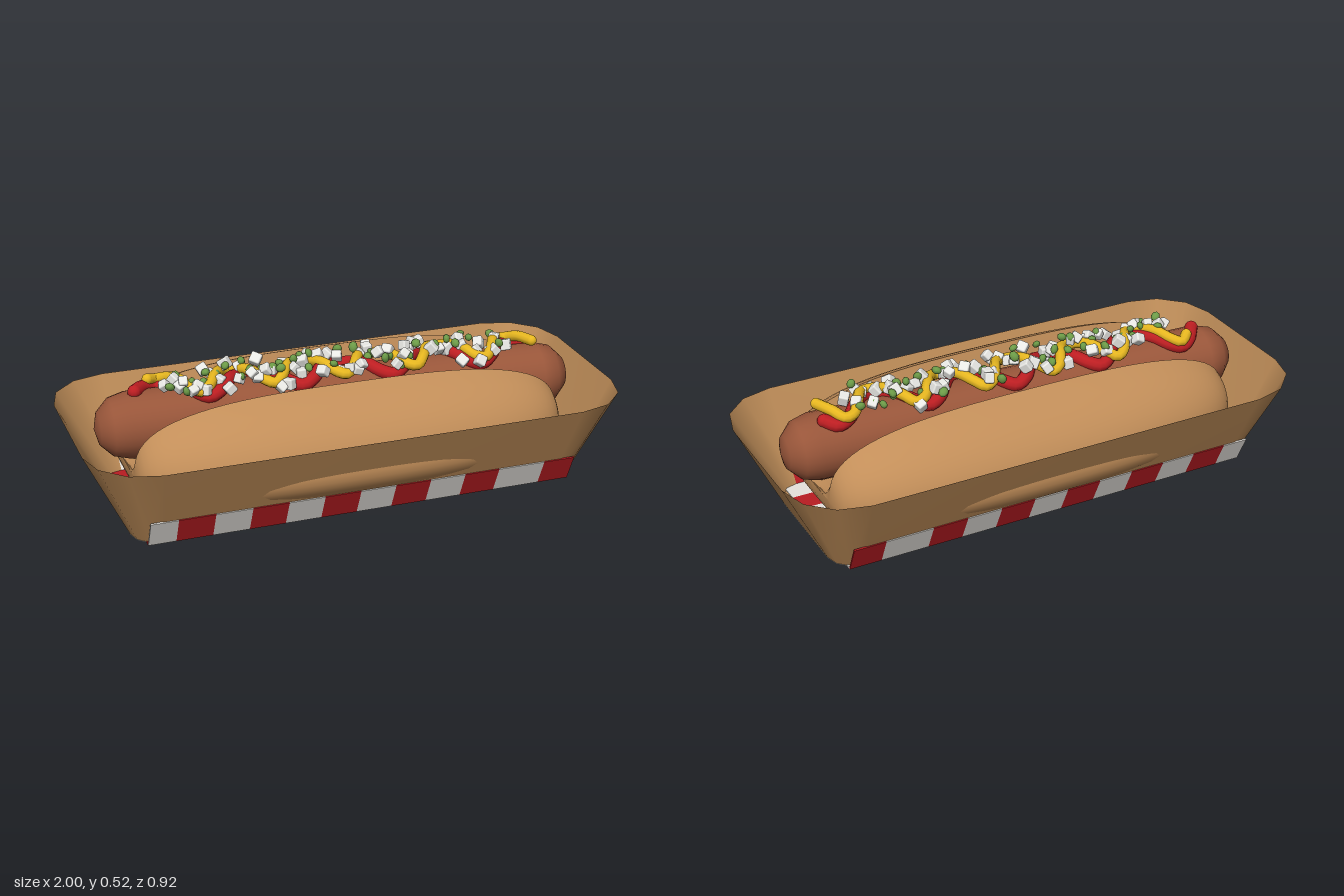
import * as THREE from 'three';
import { mergeGeometries, toCreasedNormals } from 'three/addons/utils/BufferGeometryUtils.js';
import { RoundedBoxGeometry } from 'three/addons/geometries/RoundedBoxGeometry.js';

const mat = (name, color, extra = {}) => {
  const m = new THREE.MeshStandardMaterial({ color, ...extra });
  m.name = name;
  return m;
};

function seeded(seed) {
  return () => {
    seed = (seed * 16807) % 2147483647;
    return seed / 2147483647;
  };
}

// Joins equal-length rings of points into a skin; each ring is closed
function loft(rings) {
  const n = rings[0].length, index = [];
  for (let i = 0; i < rings.length - 1; i++) {
    for (let j = 0; j < n; j++) {
      const k = (j + 1) % n;
      const a = i * n + j, b = i * n + k, c = a + n, d = b + n;
      index.push(a, b, c, b, d, c);
    }
  }
  const geo = new THREE.BufferGeometry();
  geo.setAttribute('position', new THREE.Float32BufferAttribute(rings.flat(2), 3));
  geo.setIndex(index);
  geo.computeVertexNormals();
  return geo;
}

// Rounded rectangle in plan, three facets per corner
function outline(hx, hz, r) {
  const pts = [];
  for (let q = 0; q < 4; q++) {
    const sx = q === 0 || q === 3 ? 1 : -1, sz = q < 2 ? 1 : -1;
    for (let k = 0; k <= 3; k++) {
      const a = (q + k / 3) * Math.PI / 2;
      pts.push([sx * (hx - r) + r * Math.cos(a), sz * (hz - r) + r * Math.sin(a)]);
    }
  }
  return pts;
}

export function createModel() {
  const model = new THREE.Group();
  model.name = 'hotDogInTray';
  const kraft = mat('kraft card', 0xbc8b57, { side: THREE.DoubleSide });
  const bread = mat('bread', 0xc28e59);
  const meat = mat('sausage brown', 0x99563a);
  const white = mat('paper white', 0xf0ece6, { side: THREE.DoubleSide });
  const red = mat('check red', 0xba1c22);
  const ketchupRed = mat('ketchup red', 0xbe1e22);
  const yellow = mat('mustard yellow', 0xe8b820);
  const onionWhite = mat('onion white', 0xf2f2ee);
  const green = mat('relish green', 0x6d9c48);

  const add = (parent, name, geo, material) => {
    const mesh = new THREE.Mesh(geo, material);
    mesh.name = name;
    parent.add(mesh);
    return mesh;
  };

  // Tray: flared wall and floor
  const base = outline(0.84, 0.30, 0.1);
  const rim = outline(1, 0.46, 0.23);
  add(model, 'trayWall', loft([
    base.map(([x, z]) => [x, 0.005, z]),
    rim.map(([x, z]) => [x, 0.34, z]),
  ]), kraft);
  const floorShape = new THREE.Shape(base.map(([x, z]) => new THREE.Vector2(x, z)));
  const floorGeo = new THREE.ShapeGeometry(floorShape).rotateX(Math.PI / 2);
  add(model, 'trayFloor', floorGeo, kraft).position.y = 0.005;
  add(model, 'linerUnderside', floorGeo, white).position.y = 0.003;

  // Checked paper: floor squares and turned-up side strips
  const edges = [-0.8, -0.7, -0.567, -0.433, -0.3, -0.167, -0.033, 0.1, 0.233, 0.367, 0.5, 0.68, 0.8];
  const rows = 7, depth = 0.6 / rows;
  const cells = [[], []];
  const tilt = Math.atan2(0.16, 0.335);
  for (let i = 0; i < 12; i++) {
    const w = edges[i + 1] - edges[i], x = (edges[i] + edges[i + 1]) / 2;
    for (let j = 0; j < rows; j++) {
      cells[(i + j + 1) % 2].push(new THREE.BoxGeometry(w, 0.008, depth)
        .translate(x, 0.005, -0.3 + (j + 0.5) * depth));
    }
    for (const s of [1, -1]) {
      cells[i % 2].push(new THREE.BoxGeometry(w, 0.116, 0.006)
        .rotateX(s * tilt).translate(x, 0.056, s * 0.325));
    }
  }
  add(model, 'linerWhiteChecks', mergeGeometries(cells[0]), white);
  add(model, 'linerRedChecks', mergeGeometries(cells[1]), red);

  // Bun: oval section with a groove, swelling along x
  const section = [];
  const lip = Math.acos(0.45);
  for (let k = 0; k <= 44; k++) {
    const t = lip - (Math.PI + 2 * lip) * k / 44;
    section.push([0.4 * Math.cos(t), Math.sin(t) * (Math.sin(t) > 0 ? 0.285 : 0.188)]);
  }
  section.push([-0.15, 0.16], [-0.12, 0.05], [0, 0], [0.12, 0.05], [0.15, 0.16]);
  const swell = (u, p) => Math.max(0, 1 - Math.abs(u) ** p) ** (1 / p);
  const rings = [];
  for (let i = 0; i <= 40; i++) {
    const u = Math.sin((i / 40 - 0.5) * Math.PI);
    const tall = swell(u, 3), wide = swell(u, 2.6);
    rings.push(section.map(([z, y]) => {
      const over = Math.max(0, Math.abs(z) - 0.16);
      return [0.805 * u, 0.2 + y * tall, z - Math.sign(z) * over * (1 - wide)];
    }));
  }
  add(model, 'bun', toCreasedNormals(loft(rings), 0.6), bread);

  // Sausage and toppings lie slightly askew in the bun
  const filling = new THREE.Group();
  filling.name = 'filling';
  filling.position.y = 0.315;
  filling.rotation.y = -0.04;
  model.add(filling);
  add(filling, 'sausage', new THREE.CapsuleGeometry(0.122, 1.556, 3, 24).rotateZ(Math.PI / 2), meat);

  // Sauce: zigzag tube draped over the sausage, with round ends
  const sauce = (name, x0, x1, peak, period, ride, swing, radius, material) => {
    const pts = [];
    const steps = Math.round((x1 - x0) / period * 8);
    for (let i = 0; i <= steps; i++) {
      const x = x0 + (x1 - x0) * i / steps;
      const a = -swing * Math.cos((x - peak) / period * 2 * Math.PI);
      pts.push(new THREE.Vector3(x, ride * Math.cos(a), ride * Math.sin(a)));
    }
    const parts = [new THREE.TubeGeometry(new THREE.CatmullRomCurve3(pts), steps * 4, radius, 10)];
    for (const p of [pts[0], pts[steps]]) {
      parts.push(new THREE.SphereGeometry(radius, 12, 8).translate(p.x, p.y, p.z));
    }
    add(filling, name, mergeGeometries(parts), material);
  };
  sauce('ketchup', -0.75, 0.75, 0.02, 0.34, 0.128, 0.62, 0.025, ketchupRed);
  sauce('mustard', -0.69, 0.75, -0.125, 0.265, 0.153, 0.56, 0.02, yellow);

  // Scattered onion dice and relish bits
  const rand = seeded(4217);
  const scatter = (name, count, make, low, high, spread, material) => {
    const parts = [];
    for (let i = 0; i < count; i++) {
      const x = -0.65 + 1.3 * (i + rand()) / count;
      const a = (rand() * 2 - 1) * spread, r = low + (high - low) * rand();
      parts.push(make().rotateX(rand() * 3).rotateY(rand() * 3).rotateZ(rand() * 3)
        .translate(x, r * Math.cos(a), r * Math.sin(a)));
    }
    add(filling, name, mergeGeometries(parts), material);
  };
  scatter('onionDice', 60, () => {
    const s = 0.034 + rand() * 0.008;
    return new RoundedBoxGeometry(s, s * 0.9, s, 2, 0.006);
  }, 0.145, 0.18, 0.7, onionWhite);
  scatter('relishBits', 42, () => new THREE.SphereGeometry(0.014 + rand() * 0.004, 8, 6).scale(1.2, 0.8, 1),
    0.15, 0.19, 0.6, green);

  return model;
}
